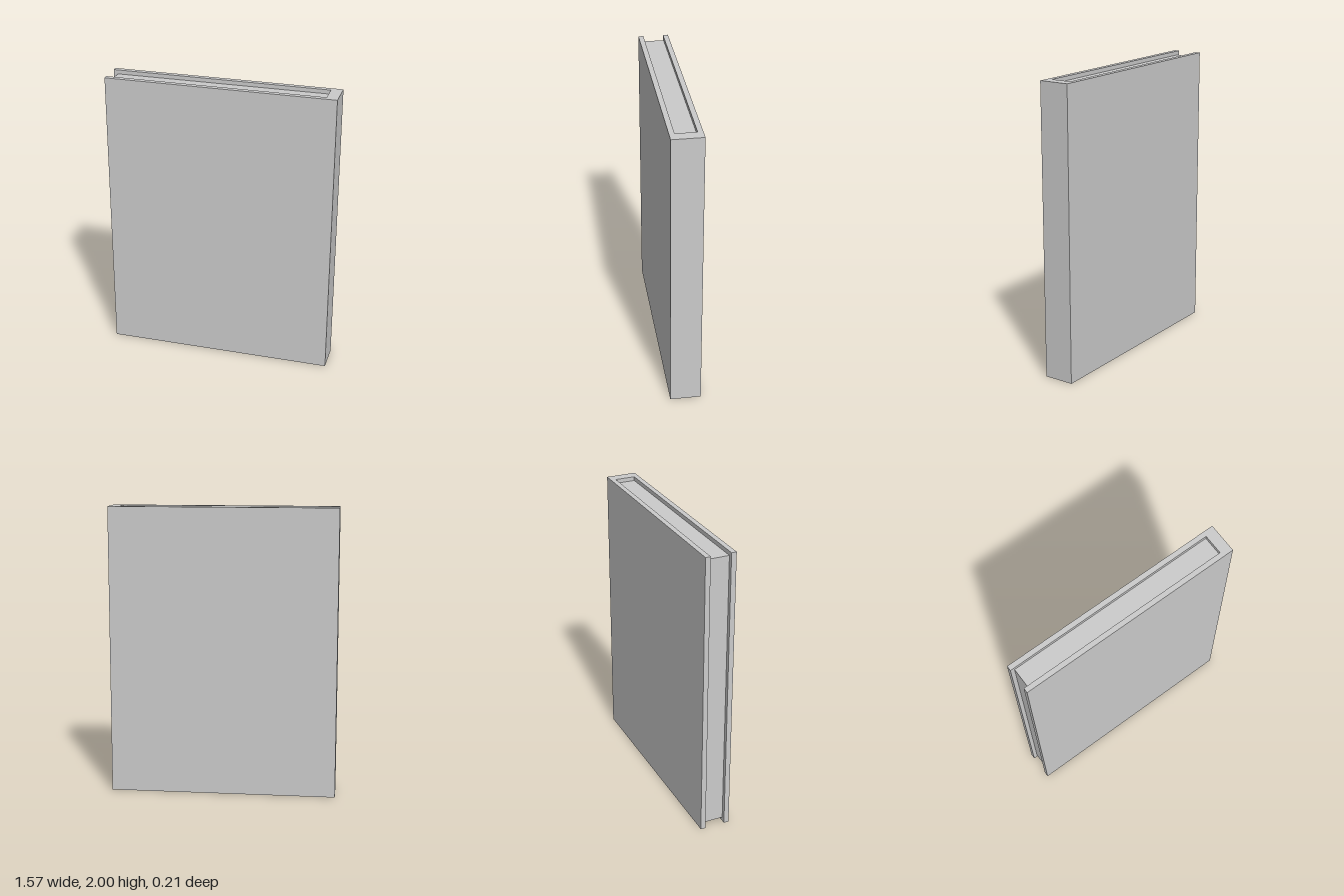
import * as THREE from 'three';

const HEIGHT = 2, HALF_W = 0.786, HALF_D = 0.105;
const INNER_X = 0.71, INNER_Z = 0.07; // inside faces of spine and boards
const INSET = 0.028; // page block set back from the cover edges

export function createModel() {
  const book = new THREE.Group();
  book.name = 'book';

  // Cover: U-shaped section (two boards and a spine), extruded upward
  const section = new THREE.Shape([
    [-HALF_W, -HALF_D], [HALF_W, -HALF_D], [HALF_W, HALF_D], [-HALF_W, HALF_D],
    [-HALF_W, INNER_Z], [INNER_X, INNER_Z], [INNER_X, -INNER_Z], [-HALF_W, -INNER_Z],
  ].map(([x, y]) => new THREE.Vector2(x, y)));
  const coverGeometry = new THREE.ExtrudeGeometry(section, { depth: HEIGHT, bevelEnabled: false });
  coverGeometry.rotateX(-Math.PI / 2);
  const cover = new THREE.Mesh(coverGeometry, new THREE.MeshStandardMaterial({ color: 0xcccccc }));
  cover.name = 'cover';
  book.add(cover);

  // Page block between the boards
  const left = -HALF_W + INSET;
  const pages = new THREE.Mesh(
    new THREE.BoxGeometry(INNER_X - left, HEIGHT - 2 * INSET, 2 * INNER_Z),
    new THREE.MeshStandardMaterial({ color: 0xffffff }),
  );
  pages.name = 'pages';
  pages.position.set((INNER_X + left) / 2, HEIGHT / 2, 0);
  book.add(pages);

  return book;
}
